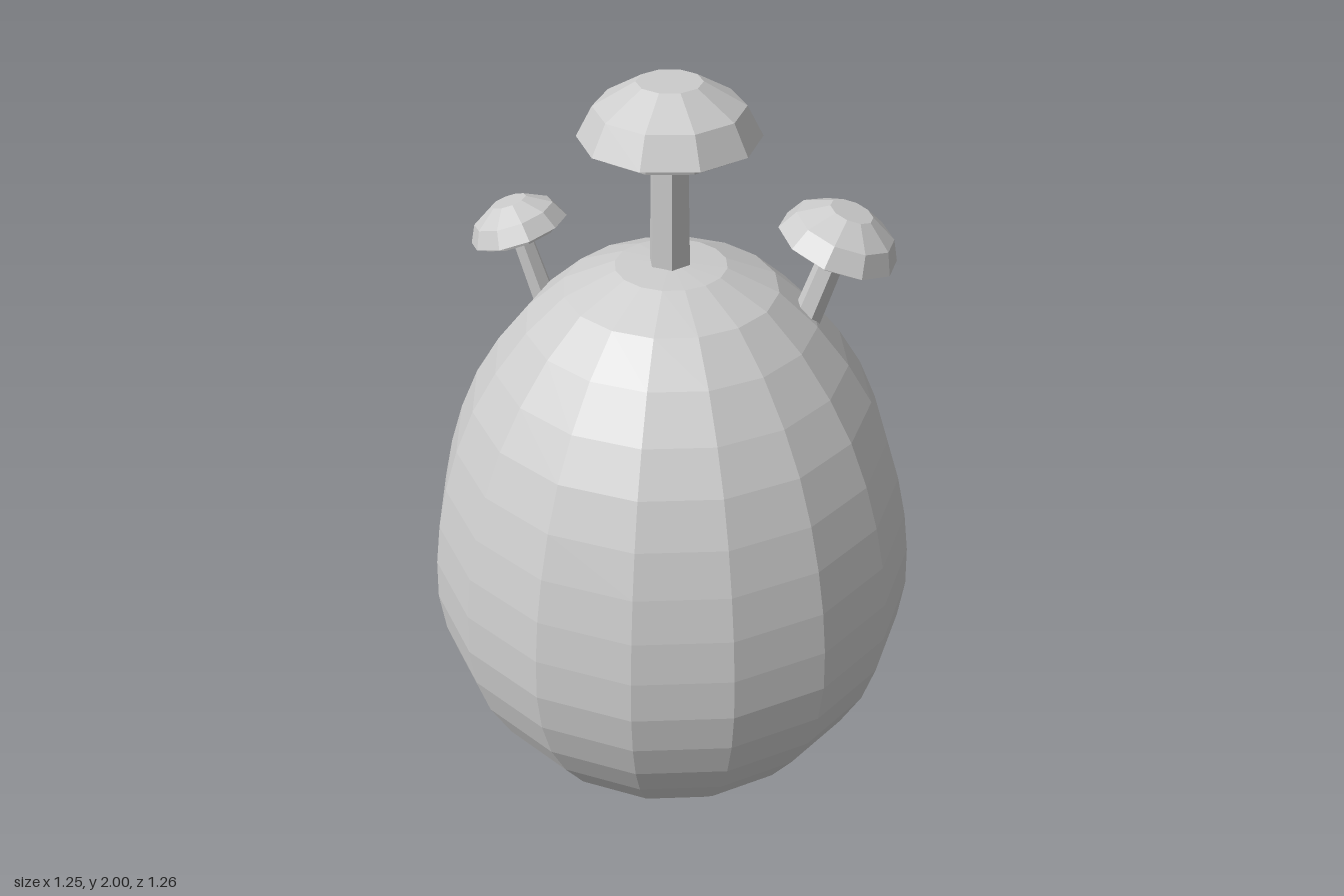
import * as THREE from 'three';

const profile = (pairs) => pairs.map(([r, y]) => new THREE.Vector2(r, y));

export function createModel() {
  const model = new THREE.Group();
  model.name = 'eggWithMushrooms';
  const grey = new THREE.MeshStandardMaterial({ color: 0xcccccc, flatShading: true });
  grey.name = 'pale grey';

  // Faceted egg body, sixteen sides
  const egg = new THREE.Mesh(new THREE.LatheGeometry(profile([
    [0, 0.005], [0.25, 0.06], [0.365, 0.13], [0.45, 0.22], [0.525, 0.33], [0.58, 0.44],
    [0.612, 0.55], [0.625, 0.66], [0.62, 0.77], [0.605, 0.88], [0.58, 0.99], [0.545, 1.1],
    [0.497, 1.21], [0.435, 1.31], [0.355, 1.41], [0.26, 1.495], [0.135, 1.55], [0, 1.56],
  ]), 16), grey);
  egg.name = 'eggBody';
  egg.position.set(0.01, 0, 0.01);
  model.add(egg);

  // Shared mushroom shapes: hexagonal stem and ten-sided cap
  const stemGeo = new THREE.CylinderGeometry(0.046, 0.053, 0.35, 6);
  stemGeo.translate(0, 0.135, 0);
  const capGeo = new THREE.LatheGeometry(profile([
    [0, 0.3], [0.172, 0.3], [0.176, 0.32], [0.212, 0.322],
    [0.174, 0.393], [0.076, 0.45], [0, 0.45],
  ]), 10);

  const up = new THREE.Vector3(0, 1, 0);
  function addMushroom(name, base, axis, size) {
    const group = new THREE.Group();
    group.name = name;
    const stem = new THREE.Mesh(stemGeo, grey);
    stem.name = 'stem';
    const cap = new THREE.Mesh(capGeo, grey);
    cap.name = 'cap';
    group.add(stem, cap);
    group.position.set(...base);
    group.quaternion.setFromUnitVectors(up, new THREE.Vector3(...axis).normalize());
    group.scale.setScalar(size);
    model.add(group);
  }

  // One on the crown, two on the shoulders, two low at the back
  addMushroom('crownMushroom', [0.005, 1.55, 0.01], [0, 1, 0], 1);
  addMushroom('rightShoulderMushroom', [-0.325, 1.365, 0.162], [-0.25, 0.95, 0.18], 0.59);
  addMushroom('leftShoulderMushroom', [0.203, 1.395, -0.25], [0.23, 1, -0.22], 0.7);
  addMushroom('lowerBackMushroom', [-0.34, 0.467, -0.467], [-0.448, 0.643, -0.62], 0.42);
  addMushroom('smallBackMushroom', [-0.494, 0.393, -0.196], [-0.838, 0.423, -0.344], 0.29);

  return model;
}
